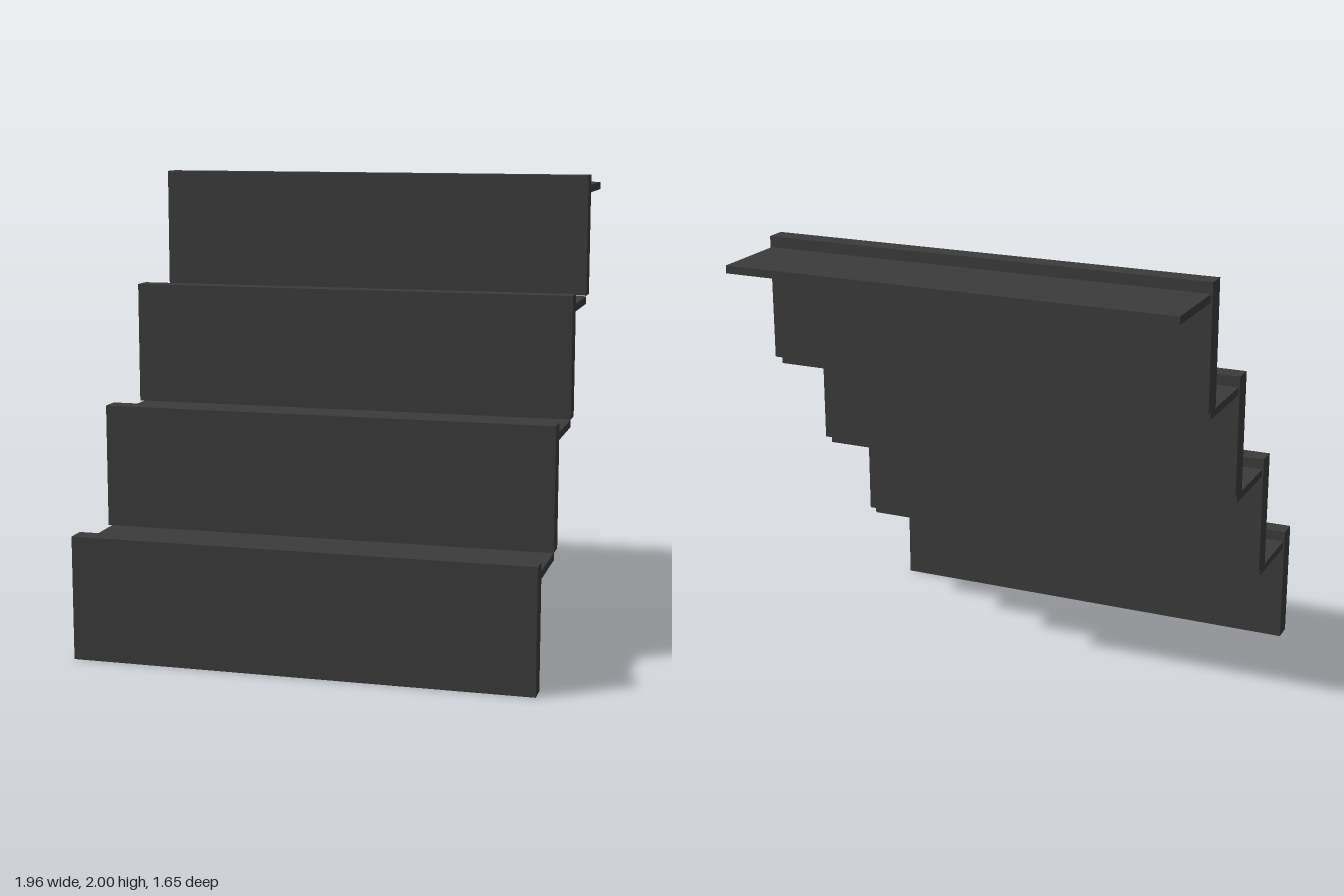
import * as THREE from 'three';

const STEPS = 4;
const RISE = 0.49;   // height gained per step
const RUN = 0.401;   // depth gained per step

export function createModel() {
  const group = new THREE.Group();
  group.name = 'steps';
  const darkGrey = new THREE.MeshStandardMaterial({ color: 0x3b3b3b });
  darkGrey.name = 'dark grey';

  // Box given by its width and its y and z ranges
  const slab = (name, width, y0, y1, z0, z1) => {
    const mesh = new THREE.Mesh(new THREE.BoxGeometry(width, y1 - y0, z1 - z0), darkGrey);
    mesh.name = name;
    mesh.position.set(0, (y0 + y1) / 2, (z0 + z1) / 2);
    return mesh;
  };

  for (let i = 0; i < STEPS; i++) {
    const step = new THREE.Group();
    step.name = `step${i + 1}`;
    // Thick upright front board
    step.add(slab('riser', 1.964, 0, 0.53, 0.738, 0.825));
    // Thin, slightly narrower board running back under the next riser
    step.add(slab('tread', 1.952, 0.45, 0.483, 0.38, 0.738));
    step.position.set(0, i * RISE, -i * RUN);
    group.add(step);
  }
  return group;
}
